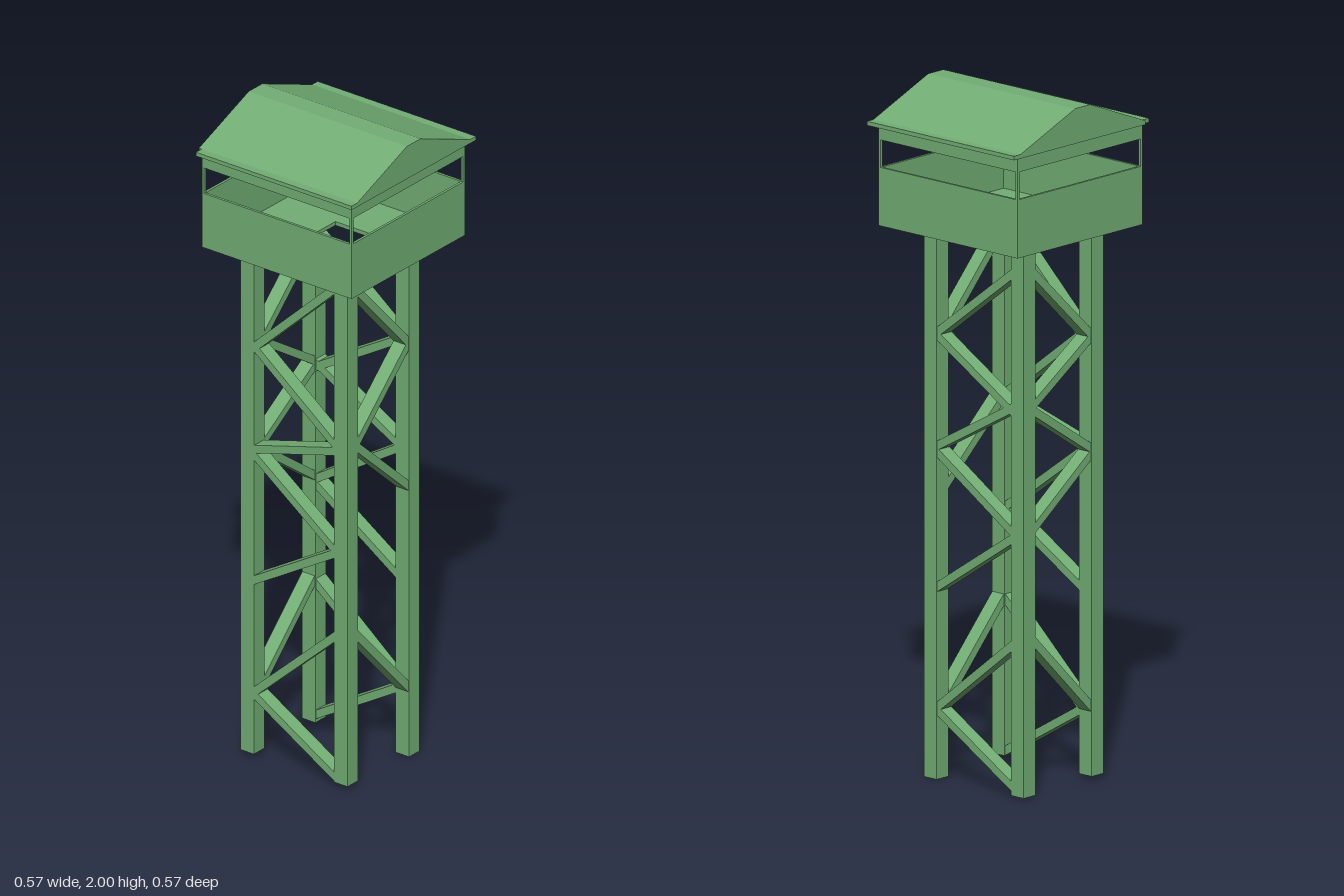
import * as THREE from 'three';

export function createModel() {
  const model = new THREE.Group();
  model.name = 'watchtower';
  const green = new THREE.MeshStandardMaterial({ color: 0x72ae74 });
  green.name = 'painted green';

  const add = (parent, name, geometry) => {
    const mesh = new THREE.Mesh(geometry, green);
    mesh.name = name;
    parent.add(mesh);
    return mesh;
  };
  // Box given by its limits on each axis
  const box = (parent, name, x0, x1, y0, y1, z0, z1) => {
    const mesh = add(parent, name, new THREE.BoxGeometry(x1 - x0, y1 - y0, z1 - z0));
    mesh.position.set((x0 + x1) / 2, (y0 + y1) / 2, (z0 + z1) / 2);
    return mesh;
  };
  const group = (name) => {
    const g = new THREE.Group();
    g.name = name;
    model.add(g);
    return g;
  };

  // Legs, with slightly uneven feet
  const legs = group('legs');
  const xL = -0.18, xR = 0.155, zF = 0.145, zB = -0.135, half = 0.024;
  for (const [x, z, foot] of [[xL, zF, 0.015], [xR, zF, 0.015], [xL, zB, 0.005], [xR, zB, 0]]) {
    box(legs, 'leg', x - half, x + half, foot, 1.61, z - half, z + half);
  }

  // Diagonal braces: heights where each one meets the inner leg faces
  const braces = group('braces');
  const brace = (name, a, b) => {
    const dir = b.clone().sub(a);
    const mesh = add(braces, name, new THREE.BoxGeometry(0.044, 0.024, dir.length() + 0.02));
    mesh.position.copy(a).add(b).multiplyScalar(0.5);
    mesh.lookAt(b);
  };
  const acrossX = (name, z, pairs) => pairs.forEach(([l, r]) =>
    brace(name, new THREE.Vector3(xL + half, l, z), new THREE.Vector3(xR - half, r, z)));
  const acrossZ = (name, x, pairs) => pairs.forEach(([f, b]) =>
    brace(name, new THREE.Vector3(x, f, zF - half), new THREE.Vector3(x, b, zB + half)));

  acrossX('frontBrace', zF, [[1.29, 1.56], [1.29, 1.07], [0.97, 1.05], [0.95, 0.74],
    [0.56, 0.73], [0.21, 0.47], [0.2, 0.03]]);
  acrossX('backBrace', zB, [[1.52, 1.3], [1.12, 1.29], [1.13, 0.97], [0.77, 0.95],
    [0.75, 0.56], [0.44, 0.21], [0.03, 0.2]]);
  acrossZ('leftBrace', xR, [[1.55, 1.3], [1.07, 1.29], [1.06, 0.85], [0.47, 0.22]]);
  acrossZ('rightBrace', xL, [[1.3, 1.52], [1.29, 1.14], [0.97, 1.12], [0.95, 0.78], [0.22, 0.45]]);

  // Cabin floor with a hatch
  const cabin = group('cabin');
  const x0 = -0.27, x1 = 0.265, z0 = -0.255, z1 = 0.26, t = 0.008;
  const rect = (Type, a, b, c, d) => {
    const s = new Type();
    s.moveTo(a, c);
    s.lineTo(b, c);
    s.lineTo(b, d);
    s.lineTo(a, d);
    s.closePath();
    return s;
  };
  const floorShape = rect(THREE.Shape, x0 + t, x1 - t, -z1 + t, -z0 - t);
  floorShape.holes.push(rect(THREE.Path, -0.06, 0.08, -0.14, 0.08));
  const floor = add(cabin, 'floor', new THREE.ExtrudeGeometry(floorShape, { depth: 0.012, bevelEnabled: false }));
  floor.rotation.x = -Math.PI / 2;
  floor.position.y = 1.605;

  // Low walls and the beams above the window openings
  for (const [name, y0, y1] of [['wall', 1.605, 1.775], ['topBeam', 1.855, 1.9]]) {
    box(cabin, name, x0, x1, y0, y1, z1 - t, z1);
    box(cabin, name, x0, x1, y0, y1, z0, z0 + t);
    box(cabin, name, x0, x0 + t, y0, y1, z0 + t, z1 - t);
    box(cabin, name, x1 - t, x1, y0, y1, z0 + t, z1 - t);
  }

  // Thin corner posts
  for (const x of [x0, x1 - t]) {
    for (const z of [z0, z1 - t]) box(cabin, 'cornerPost', x, x + t, 1.775, 1.855, z, z + t);
  }

  // Eaves, with the front strip slightly shorter
  const roof = group('roof');
  const e = 0.283;
  box(roof, 'eaves', -e, e, 1.898, 1.91, -e, 0.257);
  box(roof, 'frontEave', -0.273, e, 1.898, 1.91, 0.257, e);

  // Gabled roof with a flat ridge, extruded along x
  const gable = new THREE.Shape([[-0.257, 1.91], [0.257, 1.91], [0.031, 2], [-0.031, 2]]
    .map(([z, y]) => new THREE.Vector2(z, y)));
  const top = add(roof, 'gableRoof', new THREE.ExtrudeGeometry(gable, { depth: 2 * e, bevelEnabled: false }));
  top.rotation.y = Math.PI / 2;
  top.position.x = -e;

  return model;
}
